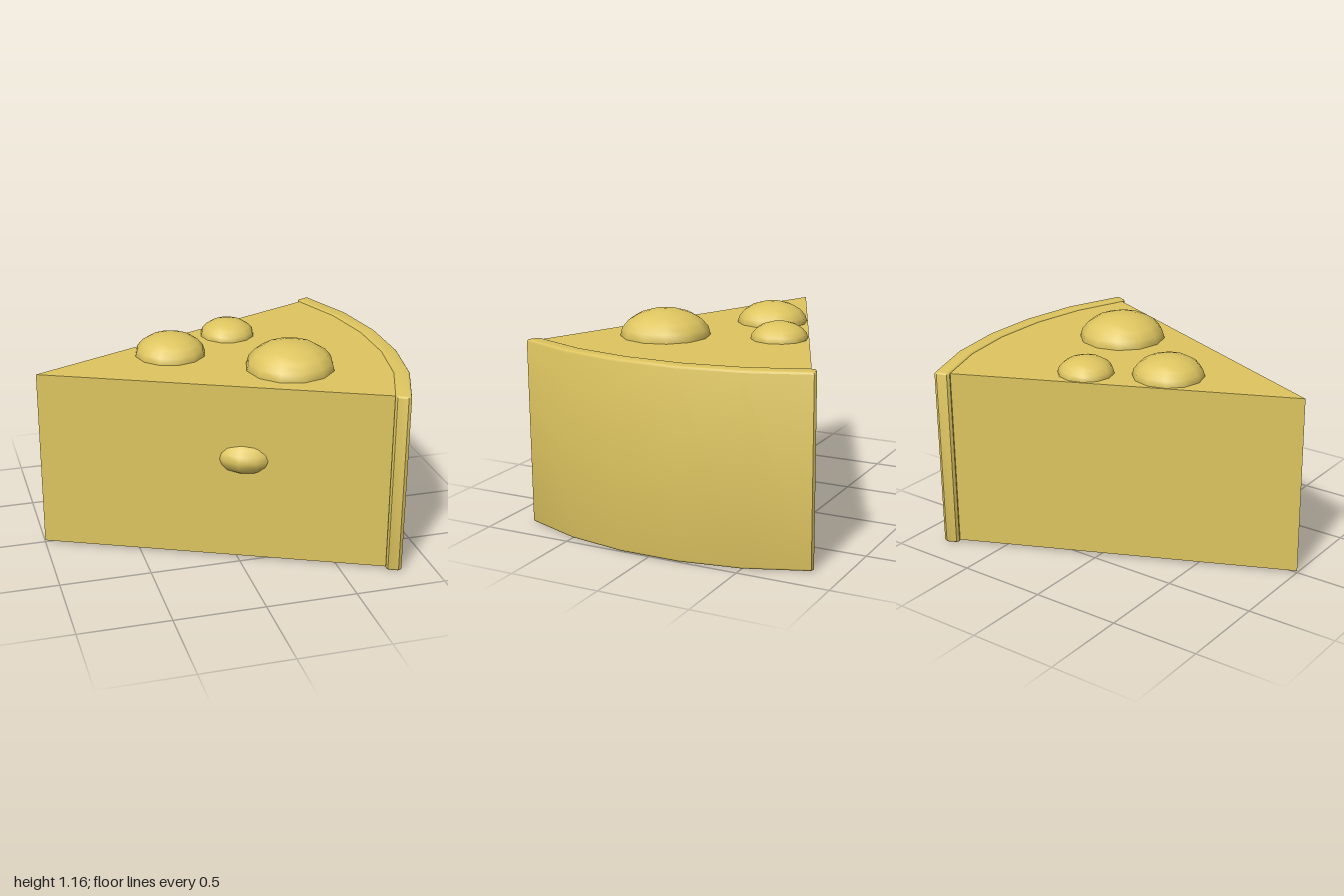
import * as THREE from 'three';
import { toCreasedNormals } from 'three/addons/utils/BufferGeometryUtils.js';

const TIP_X = -1; // the wedge tip is the centre of the rind's arc

// Plan point at a radius and an angle in degrees around the tip
function polar(radius, degrees) {
  const a = THREE.MathUtils.degToRad(degrees);
  return new THREE.Vector2(TIP_X + radius * Math.cos(a), radius * Math.sin(a));
}

// Extrude a plan outline upwards from y = bottom to y = top
function slab(points, bottom, top, bevel) {
  const geometry = new THREE.ExtrudeGeometry(new THREE.Shape(points), {
    depth: top - bottom - 2 * bevel,
    bevelEnabled: bevel > 0,
    bevelThickness: bevel,
    bevelSize: bevel,
    bevelOffset: -bevel,
    bevelSegments: 3,
  });
  geometry.rotateX(-Math.PI / 2);
  geometry.translate(0, bottom + bevel, 0);
  return toCreasedNormals(geometry, 0.6);
}

export function createModel() {
  const model = new THREE.Group();
  model.name = 'cheeseWedge';
  const cheese = new THREE.MeshStandardMaterial({ color: 0xdec560 });
  cheese.name = 'cheese yellow';

  function add(name, geometry) {
    const mesh = new THREE.Mesh(geometry, cheese);
    mesh.name = name;
    model.add(mesh);
    return mesh;
  }

  // Wedge body: tip plus a five-sided arc hidden inside the rind
  const arc = [-24.2, -14.5, -4.85, 4.85, 14.5, 24.2];
  const body = [new THREE.Vector2(TIP_X, 0), ...arc.map((a) => polar(1.95, a))];
  add('wedgeBody', slab(body, 0.01, 1.017, 0));

  // Rind: curved band with rounded edges and clipped end corners
  const inner = arc.slice(1, 5);
  const rind = [
    polar(1.985, -24.9),
    polar(2.0, -24.5),
    ...inner.map((a) => polar(2.007, a)),
    polar(2.0, 24.5),
    polar(1.985, 24.9),
    polar(1.928, 24.9),
    polar(1.915, 24.5),
    ...inner.slice().reverse().map((a) => polar(1.92, a)),
    polar(1.915, -24.5),
    polar(1.928, -24.9),
  ];
  add('rind', slab(rind, 0, 1.025, 0.012));

  // Flattened bubbles: three on the top, one bulging from the front cut
  const bubbles = [
    ['topBubbleLeft', -0.23, 1.015, -0.125, 0.198],
    ['topBubbleBack', 0.16, 1.015, -0.345, 0.156],
    ['topBubbleFront', 0.35, 1.015, 0.247, 0.246],
    ['sideBubble', 0.08, 0.593, 0.347, 0.188],
  ];
  const ball = new THREE.SphereGeometry(1, 12, 10);
  for (const [name, x, y, z, r] of bubbles) {
    const bubble = add(name, ball);
    bubble.position.set(x, y, z);
    bubble.scale.set(r, r * 0.6, r);
  }

  return model;
}
